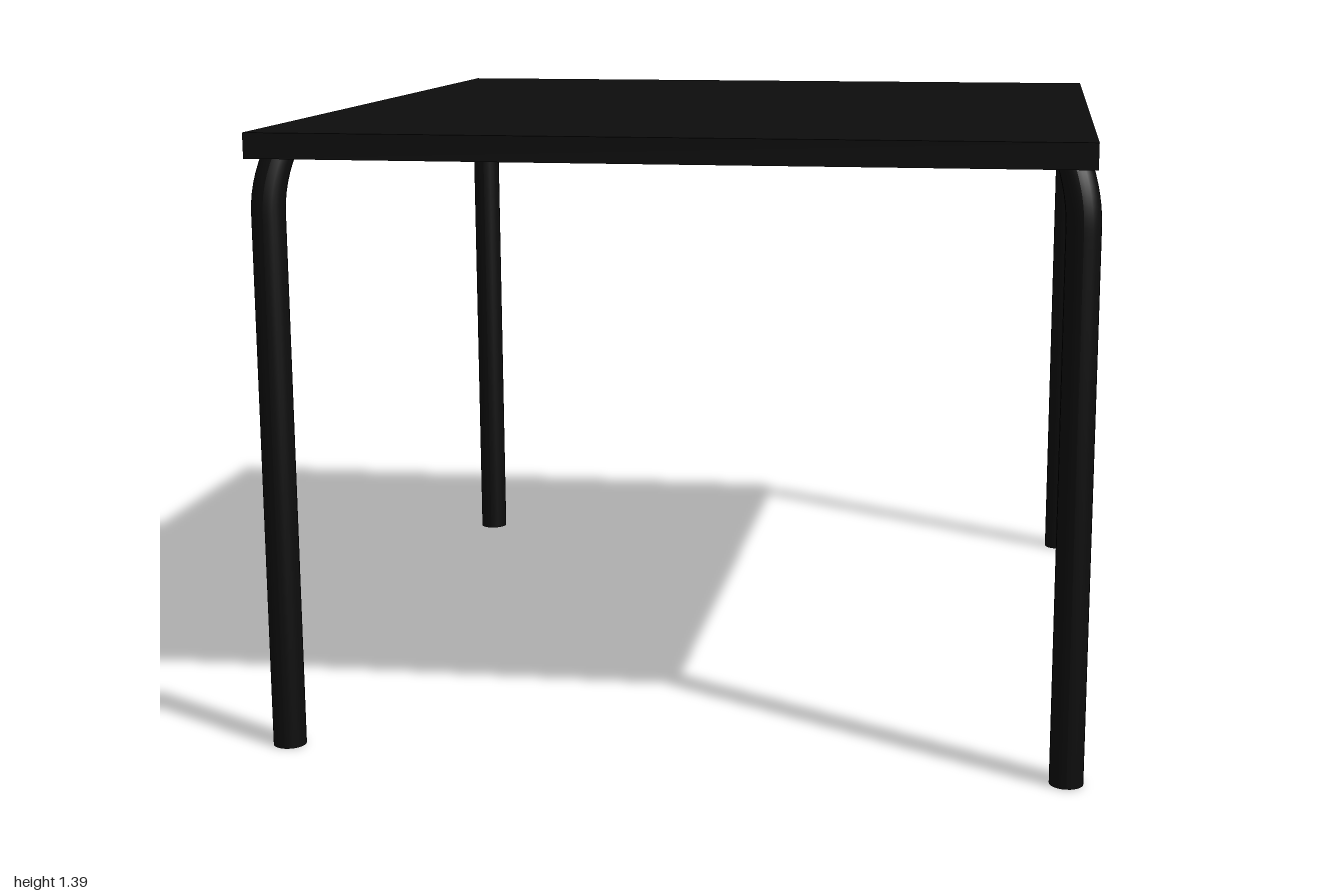
import * as THREE from 'three';

const BEND_START = 1.21, BEND_RADIUS = 0.27, LEG_TOP = 1.36, LEG_RADIUS = 0.037;

// Round leg, closed at both ends, whose top curves along (dx, dz) toward the table centre
function legGeometry(dx, dz) {
  const geo = new THREE.CylinderGeometry(LEG_RADIUS, LEG_RADIUS, LEG_TOP, 24, 64);
  geo.translate(0, LEG_TOP / 2, 0);
  const pos = geo.attributes.position;
  for (let i = 0; i < pos.count; i++) {
    const rise = Math.max(0, pos.getY(i) - BEND_START);
    const shift = rise * rise / (2 * BEND_RADIUS) * Math.SQRT1_2;
    pos.setX(i, pos.getX(i) + dx * shift);
    pos.setZ(i, pos.getZ(i) + dz * shift);
  }
  geo.computeVertexNormals();
  return geo;
}

export function createModel() {
  const table = new THREE.Group();
  table.name = 'table';
  const black = new THREE.MeshStandardMaterial({ color: 0x0d0d0d });

  // Flat slab top
  const top = new THREE.Mesh(new THREE.BoxGeometry(1.805, 0.056, 2), black);
  top.name = 'tableTop';
  top.position.set(-0.005, 1.358, 0);
  table.add(top);

  // Four corner legs, bent inward under the top
  const legs = [
    ['frontLeftLeg', 0.872, 0.961],
    ['frontRightLeg', -0.87, 0.961],
    ['backLeftLeg', 0.872, -0.955],
    ['backRightLeg', -0.874, -0.955],
  ];
  for (const [name, x, z] of legs) {
    const leg = new THREE.Mesh(legGeometry(-Math.sign(x), -Math.sign(z)), black);
    leg.name = name;
    leg.position.set(x, 0, z);
    table.add(leg);
  }
  return table;
}
